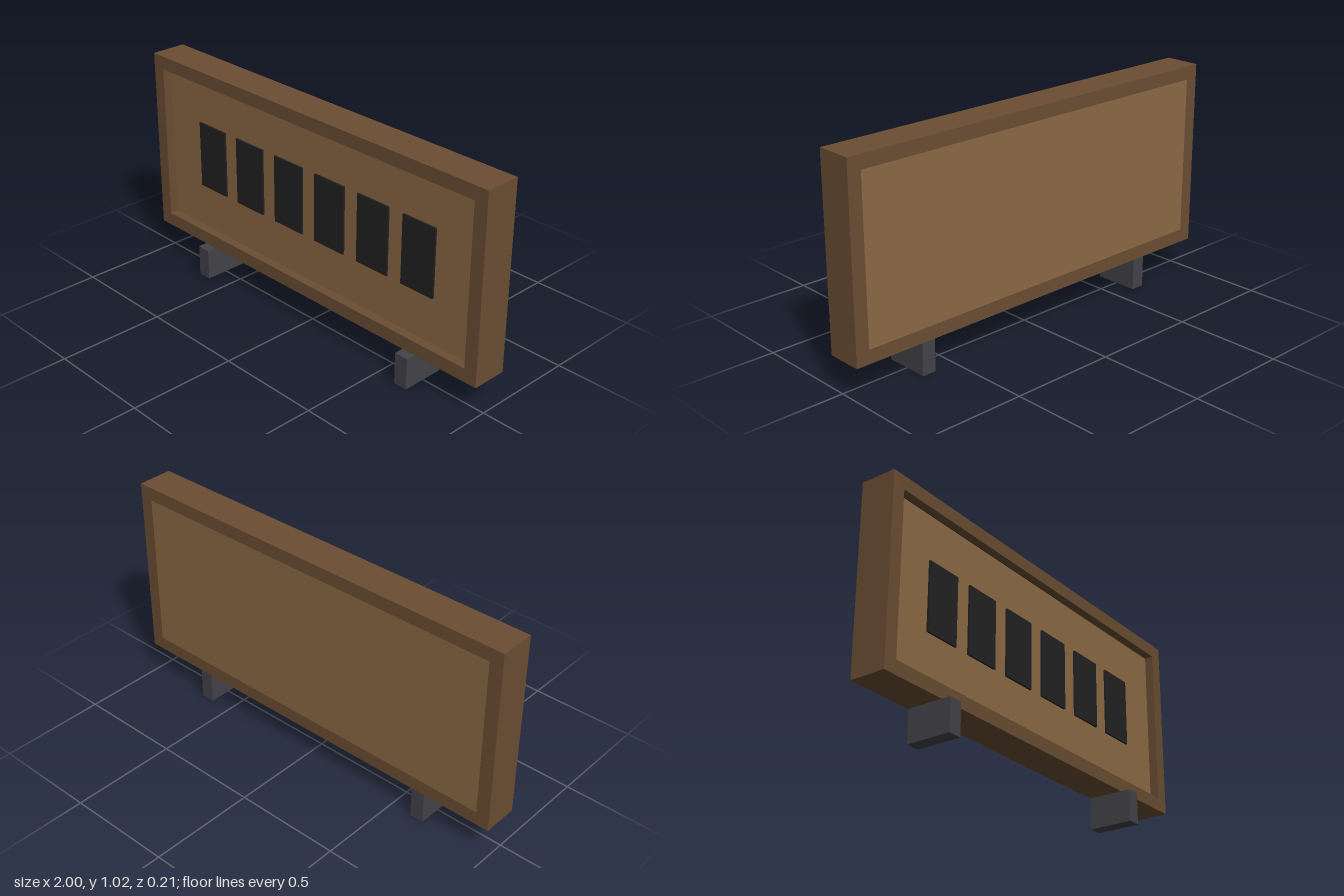
import * as THREE from 'three';

const material = (name, color) => {
  const m = new THREE.MeshStandardMaterial({ color });
  m.name = name;
  return m;
};

// Box given by its minimum and maximum corners
function block(name, mat, [x0, y0, z0], [x1, y1, z1]) {
  const mesh = new THREE.Mesh(new THREE.BoxGeometry(x1 - x0, y1 - y0, z1 - z0), mat);
  mesh.position.set((x0 + x1) / 2, (y0 + y1) / 2, (z0 + z1) / 2);
  mesh.name = name;
  return mesh;
}

// Rectangle outline for shapes and holes
function rectangle(path, x, y0, y1) {
  return path.moveTo(-x, y0).lineTo(x, y0).lineTo(x, y1).lineTo(-x, y1).closePath();
}

export function createModel() {
  const group = new THREE.Group();
  group.name = 'displayBoard';
  const darkWood = material('darkWood', 0x6b4e33);
  const lightWood = material('lightWood', 0x8c6a44);
  const black = material('black', 0x222222);
  const grey = material('darkGrey', 0x444348);

  const back = -0.106, front = 0.062, panelFront = 0.02;
  const bottom = 0.15, top = 1.022, border = 0.063;

  // Outer frame with a rectangular opening
  const shape = rectangle(new THREE.Shape(), 1, bottom, top);
  shape.holes.push(rectangle(new THREE.Path(), 1 - border, bottom + border, top - border));
  const frame = new THREE.Mesh(
    new THREE.ExtrudeGeometry(shape, { depth: front - back, bevelEnabled: false }), darkWood);
  frame.position.z = back;
  frame.name = 'frame';
  group.add(frame);

  // Panel, recessed at the front and flush at the back
  group.add(block('panel', lightWood,
    [-1 + border, bottom + border, back], [1 - border, top - border, panelFront]));

  // Row of six dark tiles
  for (let i = 0; i < 6; i++) {
    const x = (i - 2.5) * 0.255;
    group.add(block(`tile${i + 1}`, black,
      [x - 0.088, 0.428, panelFront], [x + 0.088, 0.748, panelFront + 0.009]));
  }

  // Pair of feet reaching out in front of the frame
  for (const [name, x] of [['leftFoot', 0.638], ['rightFoot', -0.638]]) {
    group.add(block(name, grey, [x - 0.033, 0, -0.106], [x + 0.033, bottom, 0.106]));
  }
  return group;
}
